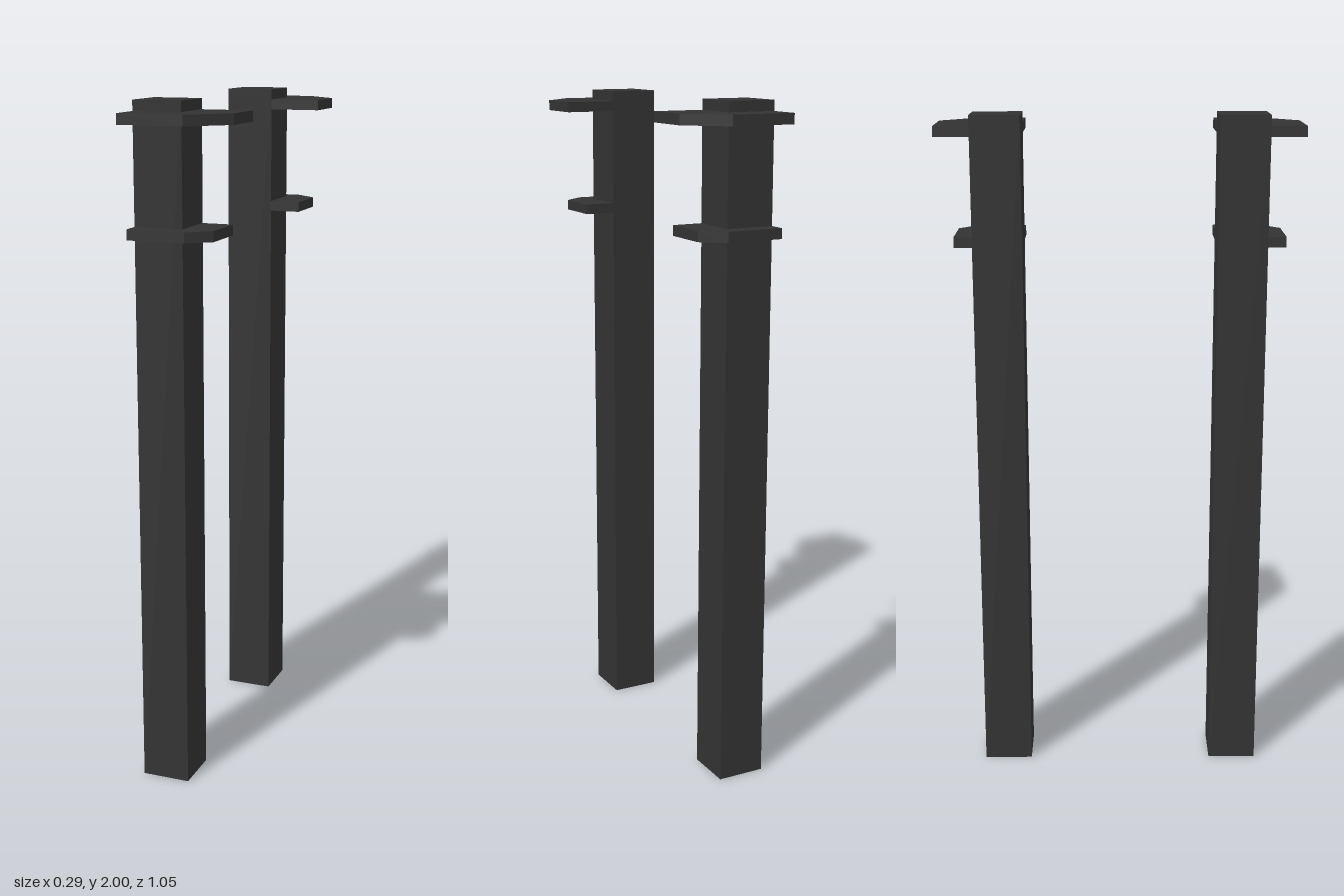
import * as THREE from 'three';

const X0 = -0.147, X1 = -0.004; // post extent across
const Z0 = 0.281, Z1 = 0.425;   // post extent in depth, mirrored for the back post

const material = new THREE.MeshStandardMaterial({
  color: 0x333333, flatShading: true, side: THREE.DoubleSide,
});

// Square post with a closed top and an open bottom
function makePost(side) {
  const geometry = new THREE.BoxGeometry(X1 - X0, 2, Z1 - Z0);
  const index = Array.from(geometry.index.array);
  index.splice(18, 6); // drop the bottom face
  geometry.setIndex(index);
  geometry.clearGroups();
  const post = new THREE.Mesh(geometry, material);
  post.position.set((X0 + X1) / 2, 1, side * (Z0 + Z1) / 2);
  post.name = 'post';
  return post;
}

// Flat L-shaped collar wrapping two post faces, with a cut outer corner
function makeCollar(name, side, { top, height, x, z, cutX, cutZ }) {
  const outline = [
    [X0, Z1], [X0, z], [cutX, z], [x, cutZ], [x, Z0], [X1, Z0], [X1, Z1],
  ].map(([px, pz]) => new THREE.Vector2(px, side * pz));
  const geometry = new THREE.ExtrudeGeometry(new THREE.Shape(outline), {
    depth: height, bevelEnabled: false,
  });
  geometry.rotateX(Math.PI / 2); // lay flat, thickness going down
  const collar = new THREE.Mesh(geometry, material);
  collar.position.y = top;
  collar.name = name;
  return collar;
}

export function createModel() {
  const model = new THREE.Group();
  model.name = 'gatePosts';
  for (const [name, side] of [['frontPost', 1], ['backPost', -1]]) {
    const group = new THREE.Group();
    group.name = name;
    group.add(
      makePost(side),
      makeCollar('upperCollar', side, { top: 1.97, height: 0.03, x: 0.146, z: 0.527, cutX: 0.043, cutZ: 0.424 }),
      makeCollar('lowerCollar', side, { top: 1.658, height: 0.03, x: 0.087, z: 0.477, cutX: 0.023, cutZ: 0.424 }),
    );
    model.add(group);
  }
  return model;
}
